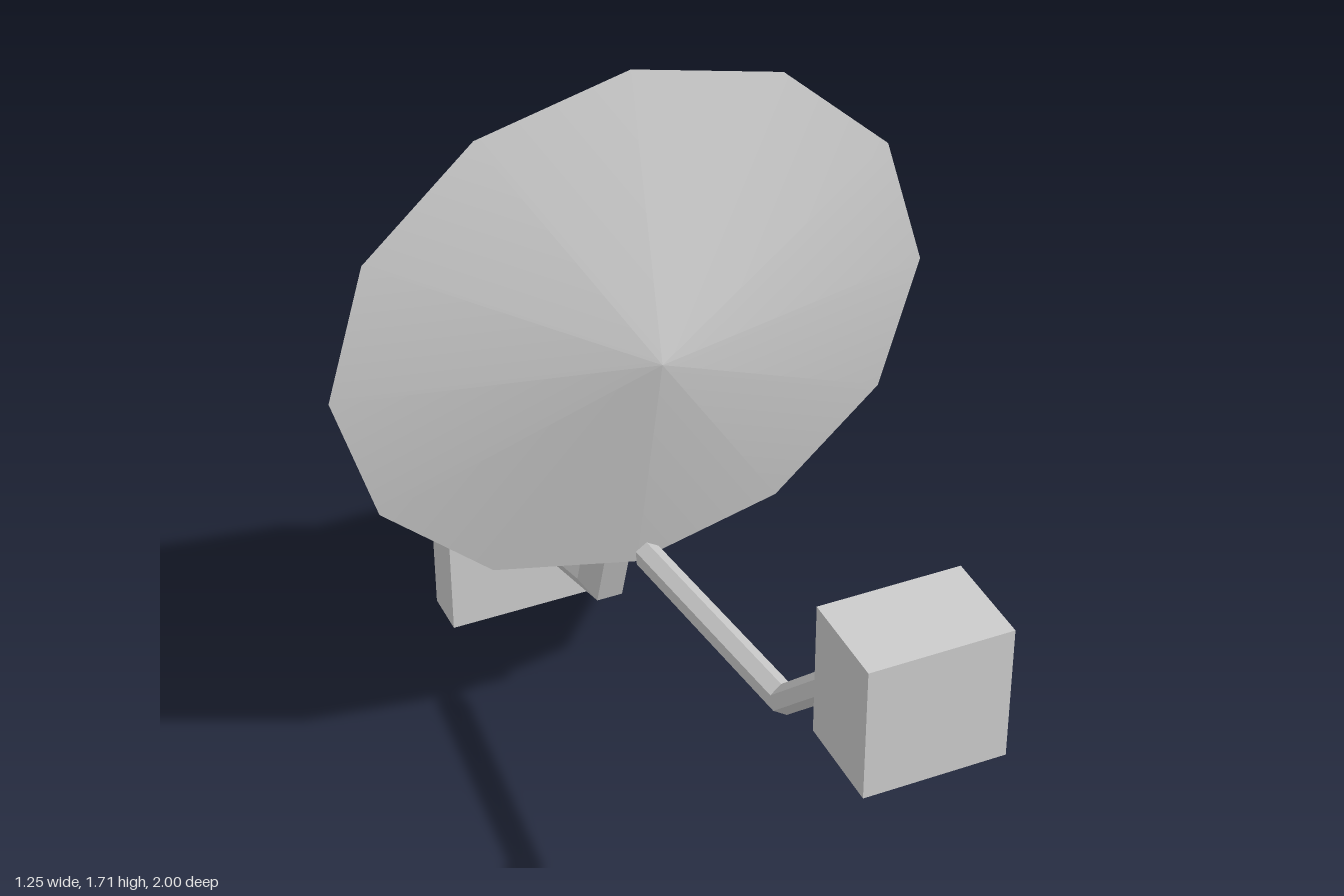
import * as THREE from 'three';

// Six-sided bar that follows a bent path of [z, y] points, with mitred joints and capped ends.
function hexBar(path, radius, turn) {
  const pts = path.map(([z, y]) => new THREE.Vector2(y, z)); // x holds y, y holds z
  const pos = [];
  const rings = pts.map((p, i) => {
    const before = i > 0 ? p.clone().sub(pts[i - 1]).normalize() : null;
    const after = i < pts.length - 1 ? pts[i + 1].clone().sub(p).normalize() : null;
    const t = (before ?? after).clone().add(after ?? before).normalize();
    const stretch = 1 / t.dot(after ?? before);
    return Array.from({ length: 6 }, (_, k) => {
      const a = turn + (k * Math.PI) / 3;
      const up = radius * Math.sin(a) * stretch;
      return [radius * Math.cos(a), p.x - t.y * up, p.y + t.x * up];
    });
  });
  const tri = (a, b, c) => pos.push(...a, ...b, ...c);
  for (let i = 0; i < rings.length - 1; i++) {
    for (let k = 0; k < 6; k++) {
      const n = (k + 1) % 6;
      tri(rings[i][k], rings[i + 1][k], rings[i + 1][n]);
      tri(rings[i][k], rings[i + 1][n], rings[i][n]);
    }
  }
  const last = rings[rings.length - 1];
  for (let k = 1; k < 5; k++) {
    tri(rings[0][0], rings[0][k], rings[0][k + 1]);
    tri(last[0], last[k + 1], last[k]);
  }
  const geo = new THREE.BufferGeometry();
  geo.setAttribute('position', new THREE.Float32BufferAttribute(pos, 3));
  geo.computeVertexNormals();
  return geo;
}

export function createModel() {
  const group = new THREE.Group();
  const metal = new THREE.MeshStandardMaterial({ color: 0xcccccc, side: THREE.DoubleSide });
  metal.name = 'light grey metal';

  const add = (name, geo, x = 0, y = 0, z = 0) => {
    const mesh = new THREE.Mesh(geo, metal);
    mesh.name = name;
    mesh.position.set(x, y, z);
    group.add(mesh);
  };

  // Dish: shallow twelve-sided cone, point forward, flat back
  const dish = new THREE.ConeGeometry(1, 0.137, 12);
  dish.rotateX(Math.PI / 2);
  dish.scale(0.625, 0.57, 1);
  add('dish', dish, 0, 1.143, -0.197);

  // Receiver box at the front
  add('receiver', new THREE.BoxGeometry(0.27, 0.27, 0.19), 0, 1.145, 0.905);

  // Thin bent arm from the receiver to the foot of the dish
  add('receiverArm', hexBar([[0.825, 1.125], [0.425, 0.735], [-0.21, 0.628]], 0.029, Math.PI / 6), 0, 0, 0);

  // Thick bent arm from the dish to the wall plate
  add('mountArm', hexBar([[-0.32, 0.815], [-0.455, 0.41], [-0.895, 0.275]], 0.057, 0), 0, 0, 0);

  // Wall plate: shallow tray, open at the back
  const plate = new THREE.BoxGeometry(0.38, 0.545, 0.11);
  plate.setIndex(Array.from(plate.index.array).slice(0, 30));
  plate.clearGroups();
  add('wallPlate', plate, 0, 0.2725, -0.945);

  return group;
}
